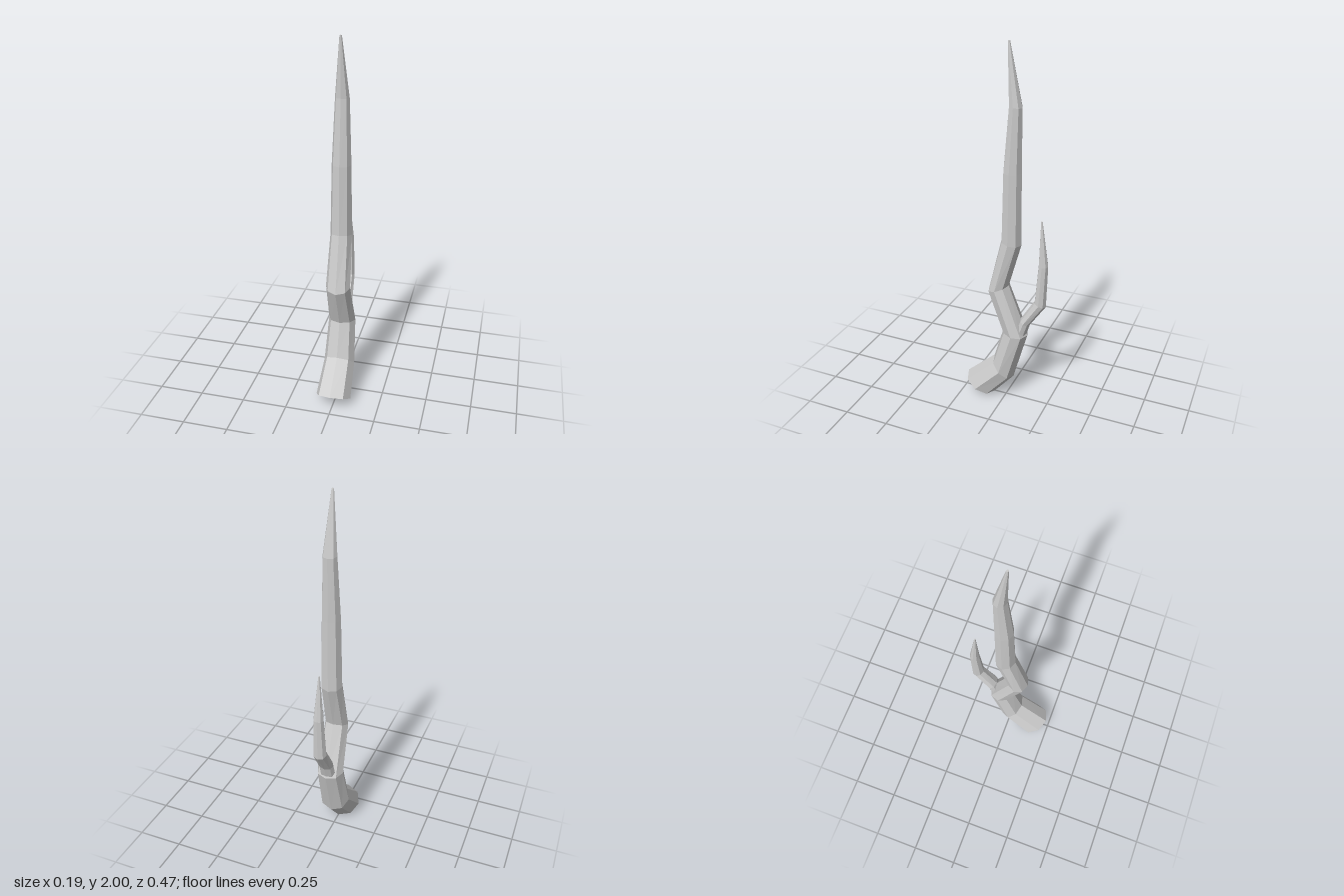
import * as THREE from 'three';

const SIDES = 8;
const material = new THREE.MeshStandardMaterial({
  color: 0xcccccc, flatShading: true, side: THREE.DoubleSide,
});

// Each ring: [front z, front y, back z, back y, half width in x]
const trunkRings = [
  [0.235, 0.10, 0.07, 0.0, 0.097],
  [0.07, 0.25, -0.045, 0.135, 0.086],
  [0.013, 0.445, -0.125, 0.425, 0.075],
  [0.10, 0.675, -0.015, 0.715, 0.066],
  [0.025, 0.985, -0.085, 0.965, 0.058],
  [0.015, 1.36, -0.084, 1.36, 0.051],
  [-0.015, 1.70, -0.084, 1.69, 0.037],
  [-0.008, 2.0, -0.02, 2.0, 0.006],
];
const branchRings = [
  [-0.06, 0.44, -0.115, 0.42, 0.045],
  [-0.088, 0.53, -0.14, 0.50, 0.043],
  [-0.165, 0.655, -0.228, 0.63, 0.037],
  [-0.183, 0.87, -0.235, 0.87, 0.028],
  [-0.191, 1.12, -0.199, 1.12, 0.004],
];

// Skin tilted octagonal rings, open at the root and closed at the tip
function limb(name, rings) {
  const positions = [], index = [];
  for (const [fz, fy, bz, by, w] of rings) {
    for (let k = 0; k < SIDES; k++) {
      const a = (k / SIDES) * Math.PI * 2, c = Math.cos(a);
      positions.push(
        w * Math.sin(a),
        (fy + by) / 2 + (c * (fy - by)) / 2,
        (fz + bz) / 2 + (c * (fz - bz)) / 2,
      );
    }
  }
  for (let r = 0; r < rings.length - 1; r++) {
    for (let k = 0; k < SIDES; k++) {
      const a = r * SIDES + k, b = r * SIDES + ((k + 1) % SIDES);
      index.push(a, b, b + SIDES, a, b + SIDES, a + SIDES);
    }
  }
  const tip = (rings.length - 1) * SIDES;
  for (let k = 1; k < SIDES - 1; k++) index.push(tip, tip + k, tip + k + 1);

  const geometry = new THREE.BufferGeometry();
  geometry.setAttribute('position', new THREE.Float32BufferAttribute(positions, 3));
  geometry.setIndex(index);
  const flat = geometry.toNonIndexed();
  flat.computeVertexNormals();
  const mesh = new THREE.Mesh(flat, material);
  mesh.name = name;
  return mesh;
}

export function createModel() {
  const group = new THREE.Group();
  group.name = 'antler';
  group.add(limb('mainBeam', trunkRings), limb('sideTine', branchRings));
  return group;
}
